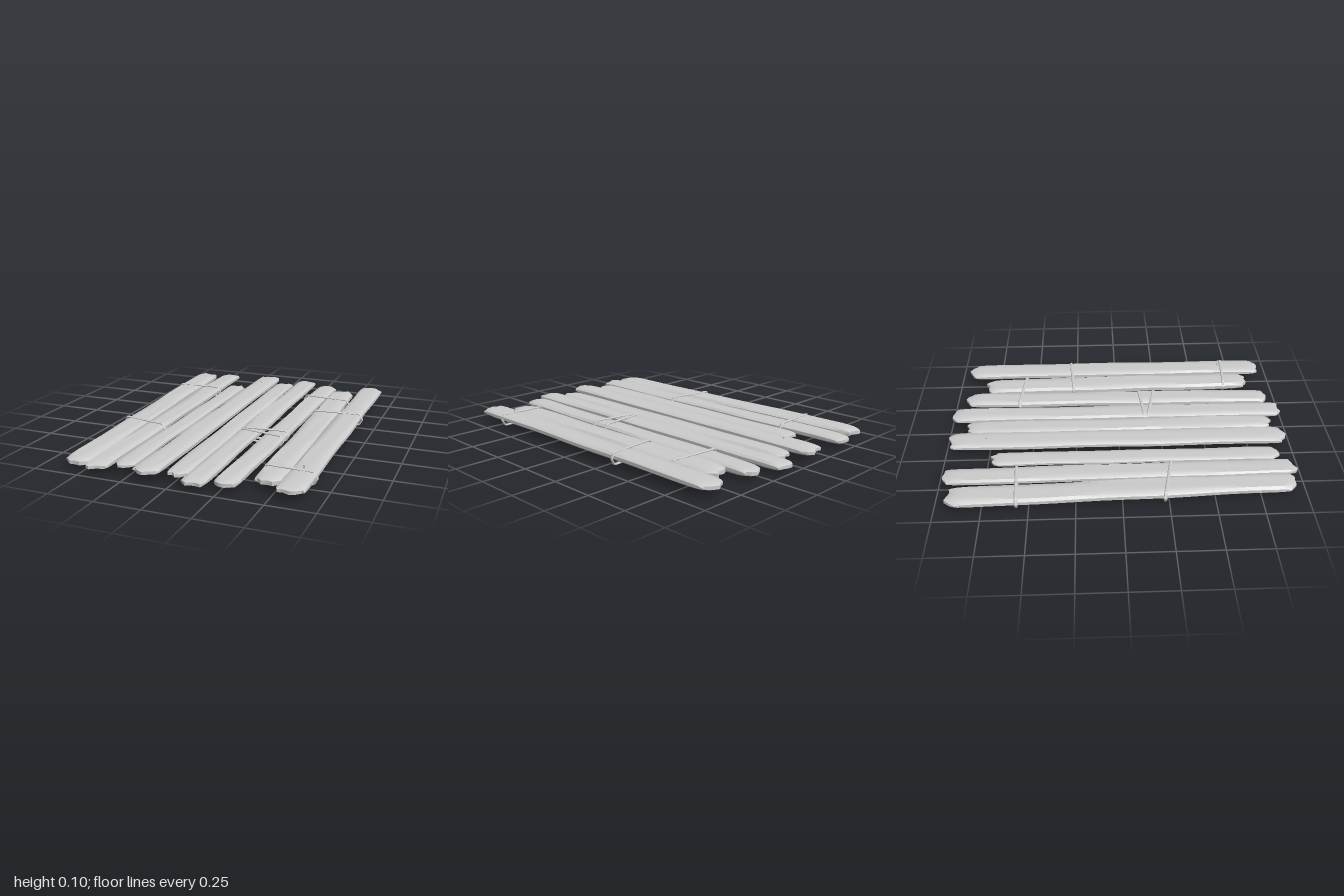
import * as THREE from 'three';
import { toCreasedNormals } from 'three/addons/utils/BufferGeometryUtils.js';

const { lerp } = THREE.MathUtils;
const material = new THREE.MeshStandardMaterial({ color: 0xcccccc });

// Plank columns across the width and the rounding of the edge at each column
const COLS = [-1, -0.8, -0.42, 0, 0.42, 0.8, 1];
const ROUND = [0.4, 0.92, 1, 1, 1, 0.92, 0.4];

// Planks: [x centre at back, x centre at front, width, y bottom, y top, z back, z front]
const PLANKS = [
  [-0.61, -0.545, 0.14, 0.015, 0.065, -0.945, 0.945],
  [-0.444, -0.418, 0.121, 0.02, 0.061, -0.98, 0.98],
  [-0.298, -0.296, 0.106, 0.024, 0.055, -0.735, 0.905],
  [-0.144, -0.14, 0.139, 0.03, 0.073, -0.99, 0.975],
  [-0.007, 0.006, 0.115, 0.021, 0.058, -0.9, 0.92],
  [0.125, 0.126, 0.121, 0.02, 0.062, -1, 0.995],
  [0.291, 0.274, 0.121, 0.013, 0.06, -0.94, 0.94],
  [0.43, 0.454, 0.139, 0.013, 0.066, -0.83, 0.84],
  [0.595, 0.597, 0.138, 0.03, 0.073, -0.95, 0.94],
];

// Rope loops: [x left, z left, x right, z right, y bottom, y top]
const ROPES = [
  [-0.675, -0.565, -0.375, -0.578, 0.006, 0.066],
  [-0.655, 0.225, -0.36, 0.283, 0.006, 0.066],
  [0.215, -0.603, 0.522, -0.57, 0.006, 0.067],
  [0.365, -0.27, 0.67, -0.29, 0.008, 0.074],
  [0.066, 0.16, 0.345, 0.137, 0.006, 0.064],
  [0.066, 0.182, 0.345, 0.236, 0.006, 0.064],
  [0.385, 0.687, 0.67, 0.702, 0.008, 0.074],
];

// Repeatable value between 0 and 1
function hash(a, b) {
  const v = Math.sin(a * 12.9898 + b * 78.233) * 43758.5453;
  return v - Math.floor(v);
}

// Broken end: how far every column falls short of the plank's tip
function brokenEnd(seed) {
  const gaps = COLS.map((u, c) => 0.035 * u ** 4 + 0.032 * hash(seed, c));
  const tip = Math.min(...gaps);
  return gaps.map((gap) => gap - tip);
}

// Stations along the length with a thickness factor: the ends are worn thin
const STATIONS = [[0, 0.42], [0.008, 0.7], [0.025, 0.9]];
for (let i = 0; i <= 14; i++) STATIONS.push([0.05 + (0.9 * i) / 14, 1]);
STATIONS.push([0.975, 0.9], [0.992, 0.7], [1, 0.42]);

// Weathered plank: rounded sections lofted between two broken ends
function plankGeometry([xBack, xFront, width, yBottom, yTop, zBack, zFront], seed) {
  const n = COLS.length, ring = 2 * n, positions = [], index = [];
  const mid = (yBottom + yTop) / 2, half = (yTop - yBottom) / 2;
  const backGaps = brokenEnd(seed + 1), frontGaps = brokenEnd(seed + 21);
  for (const [t, thick] of STATIONS) {
    const centre = lerp(xBack, xFront, t) + 0.002 * Math.sin(t * 17 + seed * 2.3);
    const halfWidth = width / 2 + 0.0015 * Math.sin(t * 13 + seed * 4.1);
    for (let k = 0; k < ring; k++) {
      const top = k < n, c = top ? k : ring - 1 - k;
      const grain = 1 - 0.05 * (1 + Math.sin(c * 2.4 + t * 9 + seed));
      const h = half * thick * ROUND[c] * grain * (top ? 1 : -1);
      const z = lerp(zBack + backGaps[c], zFront - frontGaps[c], t);
      positions.push(centre + COLS[c] * halfWidth, mid + h, z);
    }
  }
  const last = STATIONS.length - 1;
  for (let s = 0; s < last; s++) {
    for (let k = 0; k < ring; k++) {
      const a = s * ring + k, b = s * ring + ((k + 1) % ring);
      index.push(a, a + ring, b, b, a + ring, b + ring);
    }
  }
  // End faces
  const o = last * ring;
  for (let k = 0; k < n - 1; k++) {
    const t0 = k, t1 = k + 1, b0 = ring - 1 - k, b1 = ring - 2 - k;
    index.push(t0, t1, b1, t0, b1, b0);
    index.push(o + b0, o + b1, o + t1, o + b0, o + t1, o + t0);
  }
  const geometry = new THREE.BufferGeometry();
  geometry.setAttribute('position', new THREE.Float32BufferAttribute(positions, 3));
  geometry.setIndex(index);
  return toCreasedNormals(geometry, 0.7);
}

// Rope loop: a closed hexagonal path, drawn as a slightly flattened tube
function ropeGeometry([x0, z0, x1, z1, y0, y1]) {
  const my = (y0 + y1) / 2, inset = 0.018;
  const outline = [[x0, my], [x0 + inset, y1], [x1 - inset, y1], [x1, my], [x1 - inset, y0], [x0 + inset, y0]];
  const path = new THREE.CurvePath();
  const points = outline.map(([x, y]) => new THREE.Vector3(x, y, 0));
  points.forEach((p, i) => path.add(new THREE.LineCurve3(p, points[(i + 1) % points.length])));
  const geometry = new THREE.TubeGeometry(path, 80, 0.0055, 8, true);
  geometry.scale(1, 1, 1.6);
  // Slant the loop across the planks
  const pos = geometry.attributes.position;
  for (let i = 0; i < pos.count; i++) {
    const f = (pos.getX(i) - x0) / (x1 - x0);
    pos.setZ(i, pos.getZ(i) + lerp(z0, z1, f));
  }
  geometry.computeVertexNormals();
  return geometry;
}

export function createModel() {
  const model = new THREE.Group();
  model.name = 'plankRaft';
  const add = (name, geometry, parent = model) => {
    const mesh = new THREE.Mesh(geometry, material);
    mesh.name = name;
    parent.add(mesh);
    return mesh;
  };

  PLANKS.forEach((plank, i) => add(`plank${i + 1}`, plankGeometry(plank, i)));
  ROPES.forEach((rope, i) => add(`ropeLoop${i + 1}`, ropeGeometry(rope)));

  // Bent nails left standing in two planks
  [[-0.147, 0.068, -0.77, 0.016], [0.593, 0.07, 0.672, 0.025]].forEach(([x, y, z, h], i) => {
    const nail = new THREE.Group();
    nail.name = `nail${i + 1}`;
    nail.position.set(x, y, z);
    nail.rotation.x = 0.2;
    add('nailShaft', new THREE.CylinderGeometry(0.003, 0.003, h, 8), nail).position.y = h / 2 - 0.002;
    add('nailHead', new THREE.CylinderGeometry(0.006, 0.006, 0.004, 8), nail).position.y = h - 0.002;
    model.add(nail);
  });

  return model;
}
